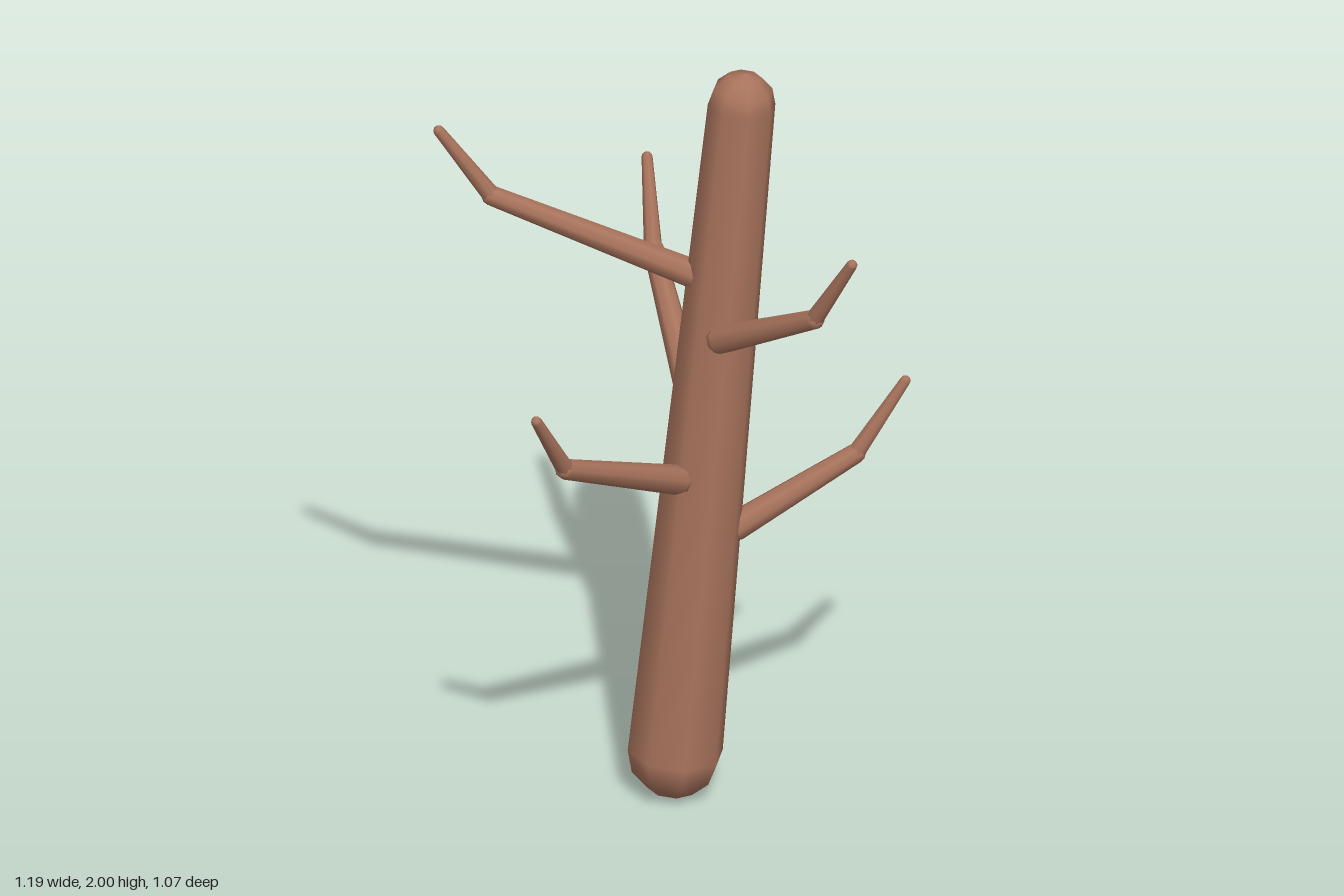
import * as THREE from 'three';

const bark = new THREE.MeshStandardMaterial({ color: 0xa8735c });
bark.name = 'bark brown';

// Tapered limb with rounded ends; a and b are the centres of its end caps.
function limb(name, a, b, r0, r1, sides, rings) {
  const start = new THREE.Vector3(...a);
  const dir = new THREE.Vector3(...b).sub(start);
  const length = dir.length();
  const profile = [];
  for (let i = 0; i <= rings; i++) {
    const t = (i / rings) * Math.PI / 2;
    profile.push(new THREE.Vector2(r0 * Math.sin(t), -r0 * Math.cos(t)));
  }
  for (let i = 0; i <= rings; i++) {
    const t = (i / rings) * Math.PI / 2;
    profile.push(new THREE.Vector2(i === rings ? 0 : r1 * Math.cos(t), length + r1 * Math.sin(t)));
  }
  const mesh = new THREE.Mesh(new THREE.LatheGeometry(profile, sides), bark);
  mesh.name = name;
  mesh.position.copy(start);
  mesh.quaternion.setFromUnitVectors(new THREE.Vector3(0, 1, 0), dir.normalize());
  return mesh;
}

// Each branch: base, elbow and tip.
const branches = [
  ['rightUpperBranch', [0.05, 1.445, 0.05], [-0.45, 1.68, -0.025], [-0.58, 1.865, -0.045]],
  ['frontLeftBranch', [0.095, 1.31, 0.15], [0.275, 1.485, 0.42], [0.35, 1.68, 0.52]],
  ['frontRightBranch', [-0.01, 0.915, 0.125], [-0.345, 1.105, 0.37], [-0.435, 1.29, 0.453]],
  ['leftLowerBranch', [0.15, 0.735, 0.06], [0.455, 0.905, 0.056], [0.58, 1.095, 0.057]],
  ['backBranch', [0.045, 1.11, -0.02], [0.035, 1.295, -0.4], [0.045, 1.483, -0.52]],
];

export function createModel() {
  const model = new THREE.Group();
  model.name = 'bareTree';

  // Leaning trunk
  model.add(limb('trunk', [-0.003, 0.125, 0.06], [0.165, 1.915, 0.06], 0.121, 0.086, 8, 3));

  // Branches, each with a thinner upturned twig
  for (const [name, base, elbow, tip] of branches) {
    const branch = new THREE.Group();
    branch.name = name;
    branch.add(
      limb('bough', base, elbow, 0.038, 0.026, 8, 3),
      limb('twig', elbow, tip, 0.023, 0.014, 8, 3),
    );
    model.add(branch);
  }
  return model;
}
